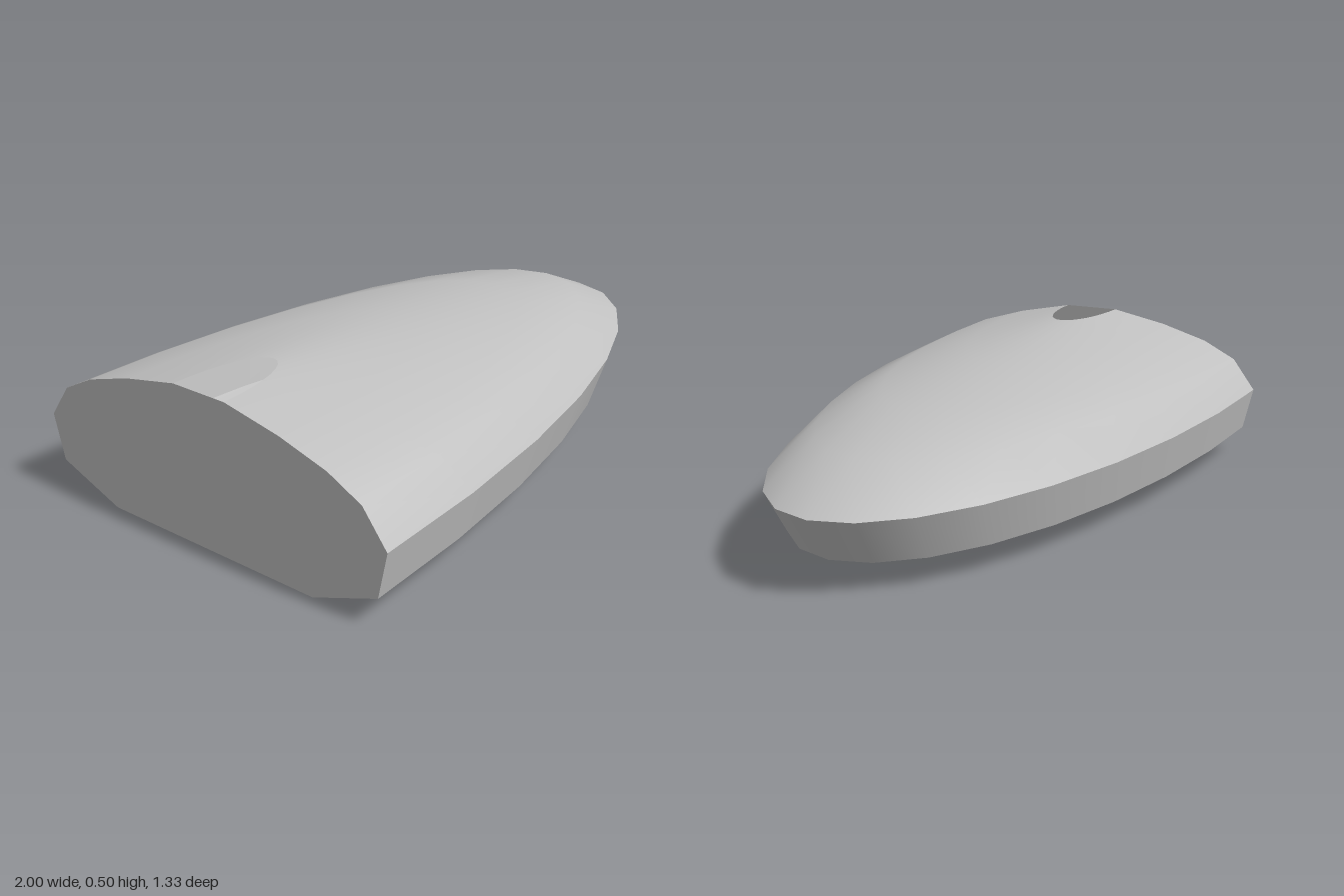
import * as THREE from 'three';

export function createModel() {
  const model = new THREE.Group();
  model.name = 'halfEllipticHull';

  const grey = new THREE.MeshStandardMaterial({ color: 0xc0c0c0, side: THREE.DoubleSide });
  grey.name = 'plainGrey';

  // Half profile [radius, height], from the lower opening up to the upper one
  const profile = [
    [0.1, 0], [0.4, 0], [0.633, 0.09], [0.667, 0.24],
    [0.585, 0.35], [0.468, 0.41], [0.3, 0.46], [0.1, 0.5],
  ].map(([r, y]) => new THREE.Vector2(r, y));

  function add(name, geometry) {
    const mesh = new THREE.Mesh(geometry, grey);
    mesh.name = name;
    model.add(mesh);
  }

  // Half-turned section, stretched three times along x; separate sections keep the rims sharp
  function section(name, from, to) {
    const geometry = new THREE.LatheGeometry(profile.slice(from, to + 1), 16, 0, Math.PI);
    geometry.scale(3, 1, 1);
    geometry.translate(-1, 0, 0);
    add(name, geometry);
  }
  section('underside', 0, 2);
  section('sideBand', 2, 3);
  section('dome', 3, 7);

  // Flat wall closing the blunt end
  const mirrored = profile.map((p) => new THREE.Vector2(-p.x, p.y)).reverse();
  const wall = new THREE.ShapeGeometry(new THREE.Shape([...profile, ...mirrored]));
  wall.rotateY(-Math.PI / 2);
  wall.translate(-1, 0, 0);
  add('endWall', wall);

  return model;
}
